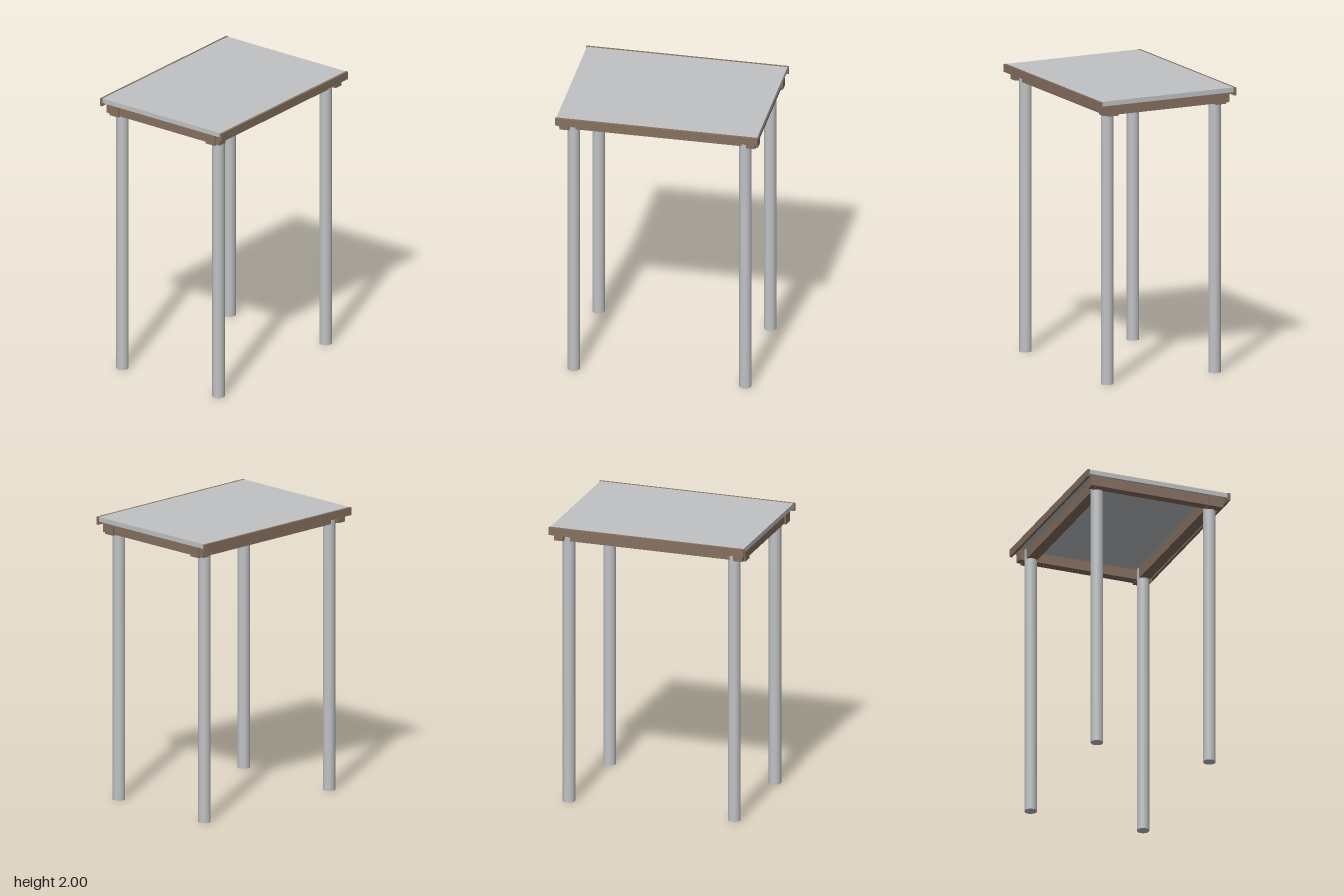
import * as THREE from 'three';

export function createModel() {
  const model = new THREE.Group();
  const grey = new THREE.MeshStandardMaterial({ color: 0xbfc1c3 });
  grey.name = 'pale grey';
  const brown = new THREE.MeshStandardMaterial({ color: 0x86705f });
  brown.name = 'wood brown';

  const add = (name, geometry, material, x, y, z) => {
    const mesh = new THREE.Mesh(geometry, material);
    mesh.name = name;
    mesh.position.set(x, y, z);
    model.add(mesh);
  };
  // Box given by its width, depth and its bottom and top heights
  const box = (name, material, w, d, y0, y1, x, z) =>
    add(name, new THREE.BoxGeometry(w, y1 - y0, d), material, x, (y0 + y1) / 2, z);

  // Flat roof panel
  box('roofPanel', grey, 1.402, 1.018, 1.967, 2, 0, 0);

  const legHeight = 1.967;
  const legGeometry = new THREE.CylinderGeometry(0.043, 0.043, legHeight, 32);

  for (const s of [-1, 1]) {
    const end = s > 0 ? 'front' : 'back';
    const side = s > 0 ? 'left' : 'right';
    // Fascia board along the long edge
    box(end + 'Fascia', brown, 1.416, 0.017, 1.945, 2, 0, s * 0.5175);
    // Long rail running through the leg tops
    box(end + 'Rail', brown, 1.39, 0.076, 1.89, 1.967, 0, s * 0.415);
    // Cross rail outside the legs
    box(side + 'CrossRail', brown, 0.065, 0.974, 1.896, 1.967, s * 0.65, 0);
    // Round legs
    for (const t of [-1, 1]) {
      add(end + (t > 0 ? 'Left' : 'Right') + 'Leg', legGeometry, grey, t * 0.6, legHeight / 2, s * 0.415);
    }
  }
  return model;
}
